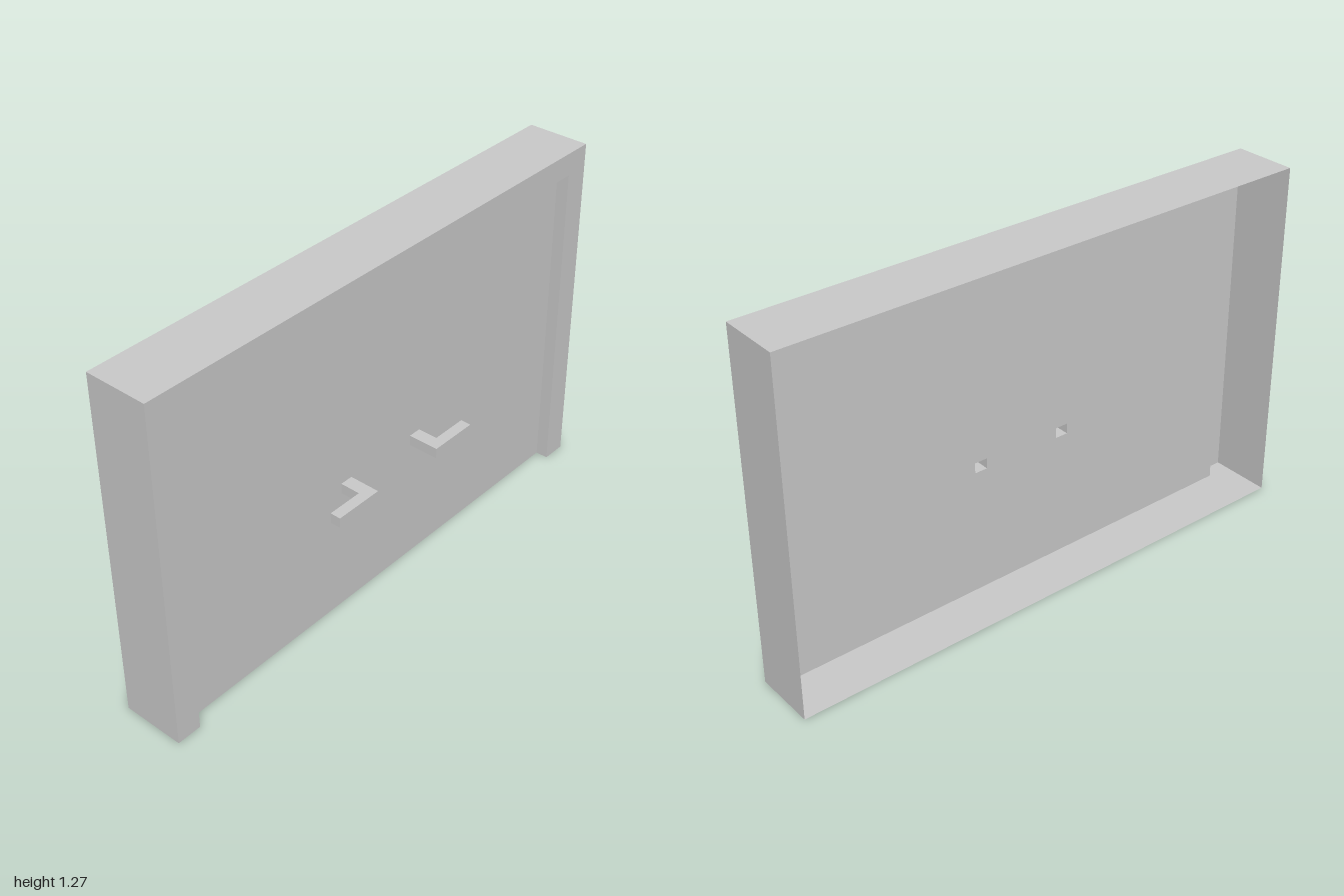
import * as THREE from 'three';
import { mergeGeometries } from 'three/addons/utils/BufferGeometryUtils.js';

const H = 1.267, BACK = -0.147, FRONT = 0.08, PANEL = 0.034; // height and depth planes
const IN_X = 0.91, IN_Y = 1.185; // recess opening
const HANDLE = { x0: 0.147, x1: 0.195, x2: 0.328, y0: 0.466, y1: 0.504, z1: 0.108, z2: 0.147 };

const material = new THREE.MeshStandardMaterial({ color: 0xcccccc, side: THREE.DoubleSide });
const toShape = (pts) => new THREE.Shape(pts.map(([x, y]) => new THREE.Vector2(x, y)));
const sheet = (shape) => new THREE.ShapeGeometry(shape).toNonIndexed();

// Flat-shaded walls along an open path in xy, spanning z0 to z1
function walls(path, z0, z1) {
  const pos = [], uv = [];
  for (let i = 0; i < path.length - 1; i++) {
    const [a, b] = [path[i], path[i + 1]];
    pos.push(...a, z0, ...b, z0, ...b, z1, ...a, z0, ...b, z1, ...a, z1);
    uv.push(0, 0, 1, 0, 1, 1, 0, 0, 1, 1, 0, 1);
  }
  const g = new THREE.BufferGeometry();
  g.setAttribute('position', new THREE.Float32BufferAttribute(pos, 3));
  g.setAttribute('uv', new THREE.Float32BufferAttribute(uv, 2));
  g.computeVertexNormals();
  return g;
}

// Hollow L-shaped handle outline in x and z, left open where it meets the panel
function handlePath(side) {
  const { x0, x1, x2, z1, z2 } = HANDLE;
  const pts = [[x1, PANEL], [x1, z1], [x2, z1], [x2, z2], [x0, z2], [x0, PANEL]];
  return side > 0 ? pts : pts.map(([x, z]) => [-x, z]).reverse();
}

export function createModel() {
  const group = new THREE.Group();
  const add = (name, geometry) => {
    const mesh = new THREE.Mesh(geometry, material);
    mesh.name = name;
    group.add(mesh);
  };

  // Thin outer casing, open at the back
  add('casing', walls([[1, 0], [1, H], [-1, H], [-1, 0]], BACK, FRONT));

  // Front border around the top and both sides
  const opening = [[-IN_X, 0], [-IN_X, IN_Y], [IN_X, IN_Y], [IN_X, 0]];
  add('frontFrame', sheet(toShape([[1, 0], [1, H], [-1, H], [-1, 0], ...opening])).translate(0, 0, FRONT));
  add('frameReveal', walls(opening, PANEL, FRONT));

  // Floor, notched under the recess
  const floor = [[-1, BACK], [1, BACK], [1, FRONT], [IN_X, FRONT], [IN_X, PANEL],
    [-IN_X, PANEL], [-IN_X, FRONT], [-1, FRONT]];
  add('floor', sheet(toShape(floor)).rotateX(Math.PI / 2));

  // Recessed panel with a square hole behind each handle
  const panel = toShape([[-IN_X, 0], [IN_X, 0], [IN_X, IN_Y], [-IN_X, IN_Y]]);
  const { x0, x1, y0, y1 } = HANDLE;
  for (const s of [-1, 1]) {
    panel.holes.push(toShape([[s * x0, y0], [s * x0, y1], [s * x1, y1], [s * x1, y0]]));
  }
  add('doorPanel', sheet(panel).translate(0, 0, PANEL));

  // Pair of mirrored handles
  for (const [name, s] of [['rightHandle', -1], ['leftHandle', 1]]) {
    const path = handlePath(s), tall = y1 - y0;
    const top = sheet(toShape(path)).rotateX(Math.PI).scale(1, -1, 1);
    // Restore outward winding and normals on the upward-facing cap
    const cap = top.attributes.position;
    for (let i = 0; i < cap.count; i += 3) {
      const b = new THREE.Vector3().fromBufferAttribute(cap, i + 1);
      const c = new THREE.Vector3().fromBufferAttribute(cap, i + 2);
      cap.setXYZ(i + 1, c.x, c.y, c.z);
      cap.setXYZ(i + 2, b.x, b.y, b.z);
    }
    top.computeVertexNormals();
    const bottom = sheet(toShape(path)).translate(0, 0, tall);
    const g = mergeGeometries([walls(path, 0, tall), top, bottom]);
    add(name, g.rotateX(Math.PI / 2).translate(0, y1, 0));
  }
  return group;
}
